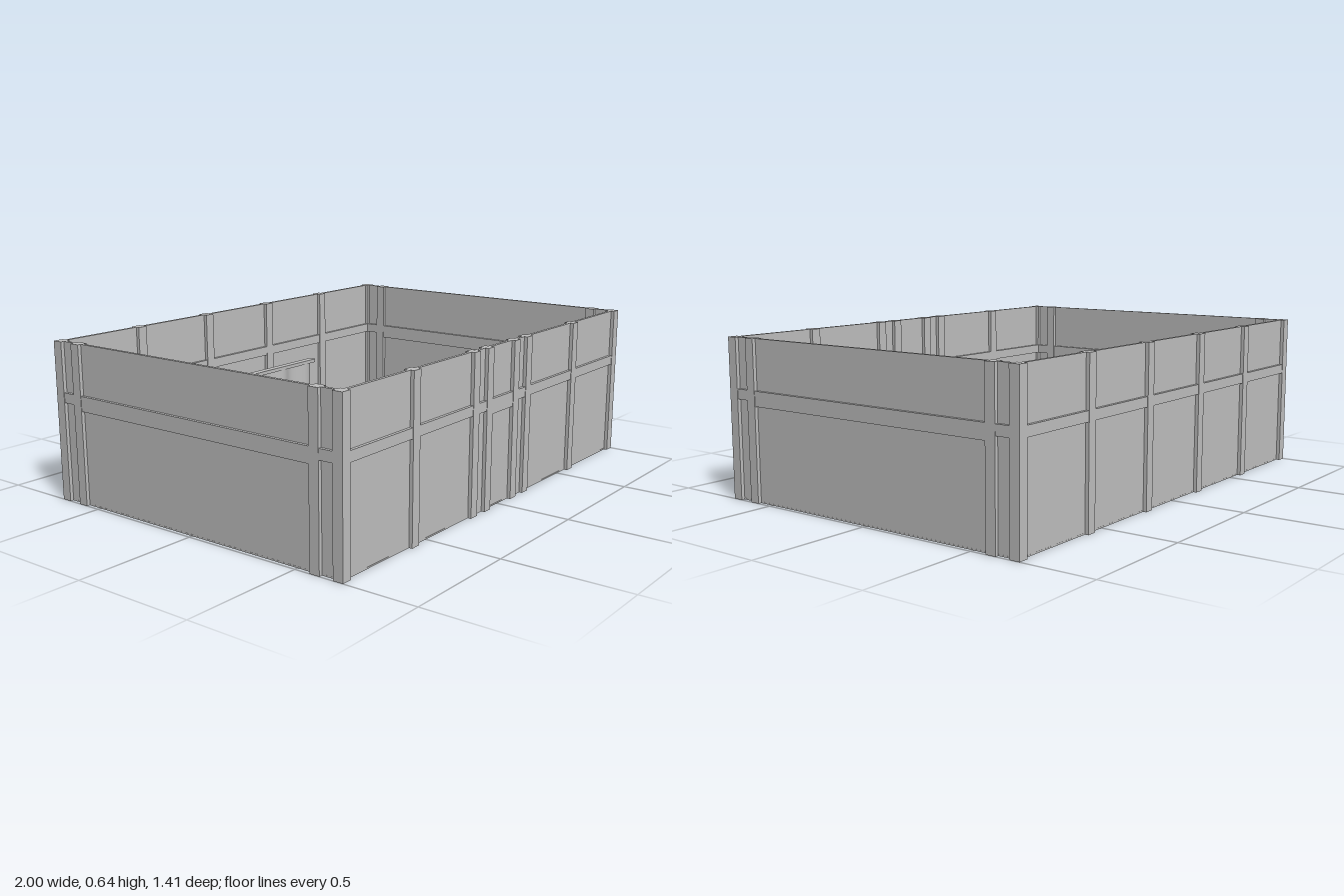
import * as THREE from 'three';

const HX = 1, HZ = 0.705, H = 0.64;   // half width, half depth, wall height
const POST = 0.042;                   // post and rail thickness
const INSET = POST / 2;

export function createModel() {
  const model = new THREE.Group();
  model.name = 'room';
  const grey = new THREE.MeshStandardMaterial({ color: 0xbfbfbf });
  const greySheet = new THREE.MeshStandardMaterial({ color: 0xbfbfbf, side: THREE.DoubleSide });
  grey.name = 'grey';
  greySheet.name = 'greySheet';

  // box given by its centre in x and z and its bottom and top heights
  function box(name, parent, x, z, w, d, y0, y1) {
    const mesh = new THREE.Mesh(new THREE.BoxGeometry(w, y1 - y0, d), grey);
    mesh.position.set(x, (y0 + y1) / 2, z);
    mesh.name = name;
    parent.add(mesh);
  }

  // thin floor reaching the wall panels
  box('floor', model, 0, 0, 2 * HX - 0.028, 2 * HZ - 0.028, 0, 0.006);

  // a wall along local x, facing local +z: panel, mid rail and posts
  function wall(name, half, postXs, wideRail) {
    const group = new THREE.Group();
    group.name = name;
    box('panel', group, 0, 0, 2 * half - POST, 0.013, 0, H);
    box('rail', group, 0, 0, 2 * half - 0.002, POST - 0.004, 0.40, 0.44);
    if (wideRail) box('lowerRail', group, 0, 0, 2 * wideRail, POST - 0.004, 0.38, 0.41);
    for (const x of postXs) box('post', group, x, 0, POST, POST, 0, H);
    model.add(group);
    return group;
  }

  const doorPosts = [-0.585, -0.195, -0.098, 0.098, 0.195, 0.585];
  wall('frontWall', HX, doorPosts, 0.08).position.z = HZ - INSET;
  const back = wall('backWall', HX, [-0.585, -0.195, 0.195, 0.585], 0);
  back.position.z = -HZ + INSET;
  back.rotation.y = Math.PI;
  for (const s of [-1, 1]) {
    const side = wall(s > 0 ? 'leftWall' : 'rightWall', HZ, [-0.585, 0.585], 0.565);
    side.position.x = s * (HX - INSET);
    side.rotation.y = s * Math.PI / 2;
    // corner posts
    for (const t of [-1, 1]) {
      box('cornerPost', model, s * (HX - INSET), t * (HZ - INSET), POST, POST, 0, H);
    }
  }

  // round floor discs
  for (const [x, z] of [[-0.585, -0.1], [0, -0.1], [0.585, -0.1], [-0.585, 0.29], [0.585, 0.29]]) {
    const disc = new THREE.Mesh(new THREE.CylinderGeometry(0.09, 0.09, 0.008, 48), grey);
    disc.position.set(x, 0.01, z);
    disc.name = 'floorDisc';
    model.add(disc);
  }

  // hanging curtain with soft folds under a straight bar
  const curtain = new THREE.PlaneGeometry(0.56, 0.365, 60, 1);
  const p = curtain.attributes.position;
  for (let i = 0; i < p.count; i++) {
    p.setZ(i, 0.013 * Math.sin((p.getX(i) / 0.56 + 0.5) * Math.PI * 7));
  }
  curtain.computeVertexNormals();
  const cloth = new THREE.Mesh(curtain, greySheet);
  cloth.position.set(0, 0.1885, -0.493);
  cloth.name = 'curtain';
  model.add(cloth);
  box('curtainBar', model, 0, -0.493, 0.6, 0.032, 0.37, 0.385);

  return model;
}
